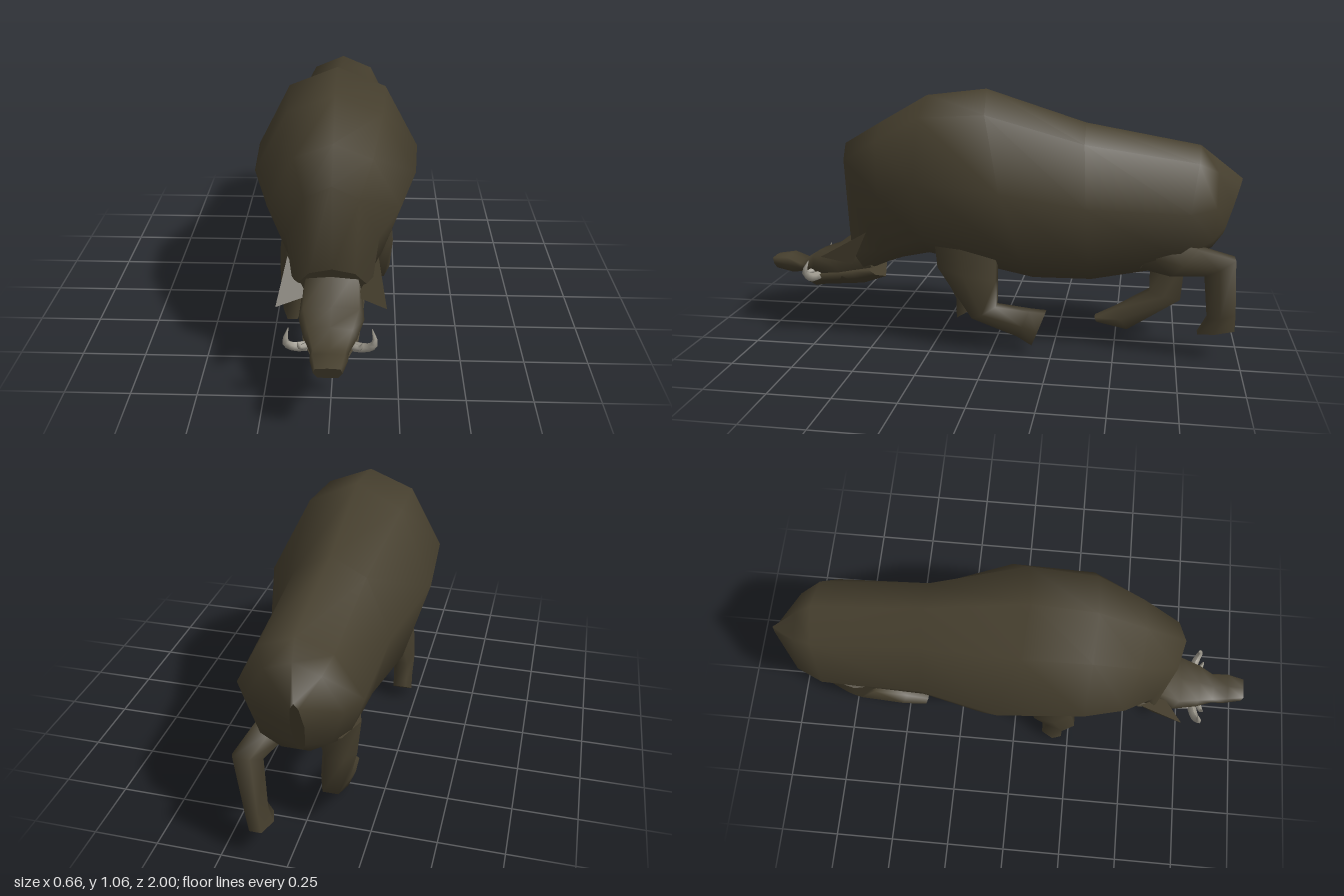
import * as THREE from 'three';

const hide = new THREE.MeshStandardMaterial({ color: 0x463f2e, side: THREE.DoubleSide });
hide.name = 'dark brown hide';
const ivory = new THREE.MeshStandardMaterial({ color: 0x99958a });
ivory.name = 'grey ivory';

// Half outlines of a cross-section: [share of half width, share from top edge to bottom edge]
const BODY = [[0, 0], [0.58, 0.11], [1, 0.48], [0.72, 0.87], [0.3, 1]];
const LEG = [[0.5, 0], [1, 0.45], [0.55, 1]];
const HEAD = [[0, 0], [0.85, 0.06], [1, 0.5], [0.7, 1]];
const JAW = [[0, 0], [1, 0.05], [0.75, 0.5], [0, 1]];

// Skin through sections [zTop, yTop, zBottom, yBottom, centre x, half width], capped at both ends
function loft(sections, half) {
  const right = half.map(([u, t]) => [-u, t]).reverse().filter(([u]) => u !== 0);
  const ring = [...half, ...right], n = ring.length;
  const pos = [], index = [];
  for (const [z1, y1, z2, y2, x, w] of sections)
    for (const [u, t] of ring) pos.push(x + u * w, y1 + (y2 - y1) * t, z1 + (z2 - z1) * t);
  for (let s = 0; s < sections.length - 1; s++)
    for (let i = 0; i < n; i++) {
      const a = s * n + i, b = s * n + (i + 1) % n;
      index.push(a, b, a + n, b, b + n, a + n);
    }
  for (const s of [0, sections.length - 1]) {
    const [z1, y1, z2, y2, x] = sections[s];
    const c = pos.length / 3;
    // separate cap corners keep the end edge sharp
    for (let i = 0; i < n; i++) pos.push(...pos.slice((s * n + i) * 3, (s * n + i) * 3 + 3));
    pos.push(x, (y1 + y2) / 2, (z1 + z2) / 2);
    for (let i = 0; i < n; i++) {
      const a = c + i, b = c + (i + 1) % n;
      s === 0 ? index.push(c + n, b, a) : index.push(c + n, a, b);
    }
  }
  // turn the faces outward if the enclosed volume is negative
  const v = i => new THREE.Vector3().fromArray(pos, i * 3);
  let volume = 0;
  for (let i = 0; i < index.length; i += 3)
    volume += v(index[i]).dot(v(index[i + 1]).cross(v(index[i + 2])));
  if (volume < 0) index.reverse();
  const g = new THREE.BufferGeometry();
  g.setAttribute('position', new THREE.Float32BufferAttribute(pos, 3));
  g.setIndex(index);
  g.computeVertexNormals();
  return g;
}

// Tube whose rings shrink towards its far end
function taperedTube(points, radius) {
  const curve = new THREE.CatmullRomCurve3(points.map(p => new THREE.Vector3(...p)));
  const segs = 8, sides = 6;
  const g = new THREE.TubeGeometry(curve, segs, radius, sides);
  const p = g.attributes.position, q = new THREE.Vector3();
  for (let i = 0; i < p.count; i++) {
    const t = Math.floor(i / (sides + 1)) / segs, c = curve.getPointAt(t);
    q.fromBufferAttribute(p, i).sub(c).multiplyScalar(1 - 0.95 * t * t).add(c);
    p.setXYZ(i, q.x, q.y, q.z);
  }
  g.computeVertexNormals();
  return g;
}

// Folded triangular ear
function earGeometry(side) {
  const corners = [[0.09, 0.37, 0.64], [0.17, 0.475, 0.53], [0.15, 0.33, 0.6], [0.2, 0.37, 0.72]];
  const faces = [[0, 3, 1], [1, 3, 2], [2, 3, 0]];
  const g = new THREE.BufferGeometry();
  const pos = faces.flatMap(f => (side > 0 ? f : [...f].reverse())
    .flatMap(i => [corners[i][0] * side, corners[i][1], corners[i][2]]));
  g.setAttribute('position', new THREE.Float32BufferAttribute(pos, 3));
  g.computeVertexNormals();
  return g;
}

export function createModel() {
  const model = new THREE.Group();
  model.name = 'boar';
  const add = (name, geometry, material = hide) => {
    const m = new THREE.Mesh(geometry, material);
    m.name = name;
    model.add(m);
  };

  // Trunk, from rump to neck
  add('body', loft([
    [-0.995, 0.71, -0.93, 0.48, -0.045, 0.025],
    [-0.89, 0.795, -0.88, 0.44, -0.01, 0.175],
    [-0.82, 0.85, -0.74, 0.36, 0, 0.23],
    [-0.36, 0.93, -0.4, 0.29, 0, 0.237],
    [0.05, 1.06, -0.16, 0.295, 0, 0.33],
    [0.3, 1.03, 0.28, 0.38, 0, 0.31],
    [0.5, 0.915, 0.4, 0.35, 0, 0.25],
    [0.66, 0.82, 0.47, 0.32, 0, 0.17],
    [0.635, 0.48, 0.56, 0.28, 0, 0.145],
  ], BODY));

  // Head, narrowing to a flared snout
  add('head', loft([
    [0.58, 0.47, 0.53, 0.27, 0, 0.11],
    [0.715, 0.37, 0.66, 0.235, 0, 0.12],
    [0.8, 0.34, 0.79, 0.24, 0, 0.095],
    [0.87, 0.295, 0.85, 0.255, 0, 0.068],
    [0.93, 0.32, 0.91, 0.25, 0, 0.066],
    [1.0, 0.31, 0.985, 0.262, 0, 0.05],
  ], HEAD));
  add('lowerJaw', loft([
    [0.54, 0.3, 0.5, 0.235, 0, 0.12],
    [0.62, 0.29, 0.6, 0.2, 0, 0.115],
    [0.76, 0.265, 0.78, 0.185, 0, 0.1],
    [0.86, 0.245, 0.82, 0.178, 0, 0.06],
  ], JAW));
  const teeth = new THREE.BoxGeometry(0.09, 0.009, 0.05);
  teeth.translate(0, 0.248, 0.838);
  add('teeth', teeth, ivory);

  for (const [side, label] of [[1, 'left'], [-1, 'right']]) {
    add(label + 'Ear', earGeometry(side));
    add(label + 'LowerTusk', taperedTube([[0.08, 0.25, 0.78], [0.13, 0.255, 0.795],
      [0.158, 0.285, 0.81], [0.148, 0.335, 0.795]].map(([x, y, z]) => [x * side, y, z]), 0.02), ivory);
    add(label + 'UpperTusk', taperedTube([[0.07, 0.27, 0.8], [0.105, 0.27, 0.82],
      [0.115, 0.295, 0.825]].map(([x, y, z]) => [x * side, y, z]), 0.014), ivory);
  }

  // Legs in a running stride, each given by its front and back edges
  add('leftForeleg', loft([
    [0.24, 0.5, -0.02, 0.5, 0.16, 0.06],
    [0.22, 0.35, -0.02, 0.3, 0.175, 0.06],
    [0.08, 0.135, -0.02, 0.19, 0.175, 0.05],
    [-0.11, 0.07, -0.16, 0.18, 0.185, 0.042],
    [-0.17, 0.037, -0.225, 0.178, 0.19, 0.042],
  ], LEG));
  add('rightForeleg', loft([
    [0.28, 0.5, 0.06, 0.48, -0.15, 0.06],
    [0.25, 0.34, 0.09, 0.27, -0.175, 0.058],
    [0.27, 0.2, 0.15, 0.18, -0.183, 0.047],
    [0.22, 0.09, 0.135, 0.1, -0.185, 0.042],
    [0.22, 0, 0.13, 0.065, -0.185, 0.042],
  ], LEG));
  add('leftHindLeg', loft([
    [-0.6, 0.36, -0.66, 0.5, 0.09, 0.07],
    [-0.72, 0.345, -0.82, 0.46, 0.13, 0.07],
    [-0.85, 0.36, -0.965, 0.43, 0.16, 0.058],
    [-0.87, 0.17, -0.98, 0.19, 0.13, 0.042],
    [-0.835, 0.1, -0.98, 0.12, 0.12, 0.042],
  ], LEG));
  add('rightHindLeg', loft([
    [-0.55, 0.42, -0.84, 0.48, -0.12, 0.075],
    [-0.64, 0.3, -0.785, 0.34, -0.12, 0.065],
    [-0.64, 0.2, -0.77, 0.17, -0.1, 0.055],
    [-0.5, 0.12, -0.55, 0.03, -0.085, 0.05],
    [-0.41, 0.075, -0.43, 0.055, -0.08, 0.045],
  ], LEG));

  return model;
}
